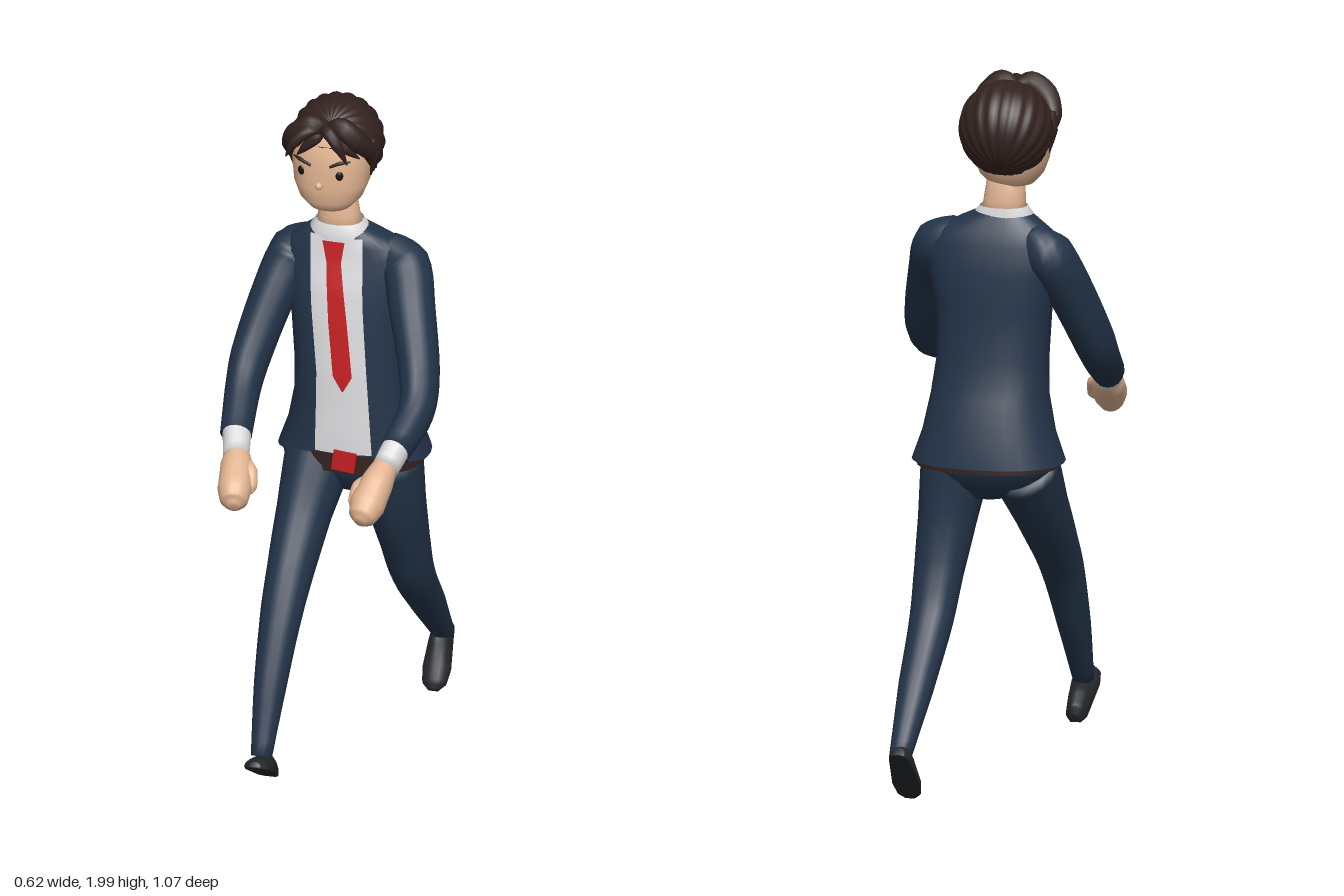
import * as THREE from 'three';
import { mergeVertices } from 'three/addons/utils/BufferGeometryUtils.js';

const V = (x, y, z) => new THREE.Vector3(x, y, z);
const lerp = THREE.MathUtils.lerp;
const paint = (name, color, side = THREE.FrontSide) => {
  const m = new THREE.MeshStandardMaterial({ color, side });
  m.name = name;
  return m;
};
const pw = (v, e) => Math.sign(v) * Math.abs(v) ** e;

// Skin a list of vertex rings, optionally closing both ends
function skin(rings, caps = true) {
  const n = rings[0].length, pos = [], idx = [];
  rings.flat().forEach(p => pos.push(p.x, p.y, p.z));
  for (let i = 0; i < rings.length - 1; i++)
    for (let j = 0; j < n; j++) {
      const a = i * n + j, b = i * n + (j + 1) % n;
      idx.push(a, b, b + n, a, b + n, a + n);
    }
  if (caps) [0, rings.length - 1].forEach(i => {
    const c = V(0, 0, 0), k = pos.length / 3;
    rings[i].forEach(p => c.addScaledVector(p, 1 / n));
    pos.push(c.x, c.y, c.z);
    for (let j = 0; j < n; j++) {
      const a = i * n + j, b = i * n + (j + 1) % n;
      idx.push(k, ...(i ? [a, b] : [b, a]));
    }
  });
  const g = new THREE.BufferGeometry();
  g.setAttribute('position', new THREE.Float32BufferAttribute(pos, 3));
  g.setIndex(idx);
  g.computeVertexNormals();
  return g;
}

// Horizontal sections [y, cx, cz, rx, rz] with rounded-square outline
const E = 0.88, N = 32;
function loft(sections, caps = true, rule = p => p) {
  return skin(sections.map(([y, cx, cz, rx, rz]) => Array.from({ length: N }, (_, j) => {
    const a = j / N * Math.PI * 2;
    return rule(V(cx + rx * pw(Math.sin(a), E), y, cz + rz * pw(Math.cos(a), E)), a);
  })), caps);
}

// Front surface depth of a loft at x, y
function frontZ(sections, x, y) {
  let i = 0;
  while (i < sections.length - 2 && y > sections[i + 1][0]) i++;
  const a = sections[i], b = sections[i + 1];
  const t = THREE.MathUtils.clamp((y - a[0]) / (b[0] - a[0]), 0, 1);
  const [, cx, cz, rx, rz] = a.map((v, k) => lerp(v, b[k], t));
  const k = Math.max(0, 1 - Math.abs((x - cx) / rx) ** (2 / E));
  return cz + rz * k ** (E / 2);
}

// Tapered limb through points [x, y, z, sideRadius, depthRadius]
function limb(pts, { ref = V(1, 0, 0), n = 16, steps = 5 } = {}) {
  const curve = new THREE.CatmullRomCurve3(pts.map(p => V(p[0], p[1], p[2])));
  const m = (pts.length - 1) * steps, rings = [];
  for (let i = 0; i <= m; i++) {
    const f = i / steps, k = Math.min(pts.length - 2, Math.floor(f));
    const r1 = lerp(pts[k][3], pts[k + 1][3], f - k);
    const r2 = lerp(pts[k][4] ?? pts[k][3], pts[k + 1][4] ?? pts[k + 1][3], f - k);
    const c = curve.getPoint(i / m), t = curve.getTangent(i / m);
    const s = ref.clone().addScaledVector(t, -ref.dot(t)).normalize();
    const o = s.clone().cross(t);
    rings.push(Array.from({ length: n }, (_, j) => {
      const a = j / n * Math.PI * 2;
      return c.clone().addScaledVector(s, r1 * Math.sin(a)).addScaledVector(o, r2 * Math.cos(a));
    }));
  }
  return skin(rings);
}

// Thin panel lying on a loft; rows are [y, left x, right x] from bottom to top
function panel(sections, rows, off) {
  const g = new THREE.PlaneGeometry(1, 1, 12, (rows.length - 1) * 8), p = g.attributes.position;
  for (let i = 0; i < p.count; i++) {
    const f = (p.getY(i) + 0.5) * (rows.length - 1), k = Math.min(rows.length - 2, Math.floor(f));
    const [y, l, r] = rows[k].map((v, q) => lerp(v, rows[k + 1][q], f - k));
    const x = lerp(l, r, p.getX(i) + 0.5);
    p.setXYZ(i, x, y, frontZ(sections, x, y) + off);
  }
  g.computeVertexNormals();
  return g;
}

export function createModel() {
  const root = new THREE.Group();
  const D = THREE.DoubleSide;
  const suit = paint('navy suit', 0x233449, D), white = paint('white shirt', 0xdcdcde, D);
  const red = paint('red tie', 0xc41f22, D), skinTone = paint('skin', 0xe2b491);
  const hair = paint('dark brown hair', 0x33221f), leather = paint('brown belt', 0x33221f, D);
  const black = paint('black shoe', 0x24262a), ink = paint('eye black', 0x161214);
  const add = (name, geo, mat, parent = root) => {
    const m = new THREE.Mesh(geo, mat);
    m.name = name;
    parent.add(m);
    return m;
  };

  // Jacket, shirt front and tie
  const torso = [
    [0.915, 0.01, -0.085, 0.215, 0.15], [1.0, 0.01, -0.08, 0.185, 0.145],
    [1.1, 0.01, -0.068, 0.165, 0.128], [1.2, 0.005, -0.056, 0.157, 0.112],
    [1.35, 0, -0.06, 0.163, 0.102], [1.45, 0, -0.067, 0.185, 0.095],
    [1.53, 0, -0.07, 0.185, 0.078], [1.57, -0.005, -0.066, 0.16, 0.068],
    [1.6, -0.015, -0.062, 0.11, 0.06], [1.622, -0.025, -0.06, 0.07, 0.052]];
  add('jacket', loft(torso, false, (p, a) => {
    if (p.y < 0.93) p.y += 0.045 * Math.max(0, Math.cos(a)) ** 2;
    return p;
  }), suit);
  add('shirtFront', panel(torso, [[0.962, -0.07, 0.092], [1.2, -0.068, 0.075],
    [1.4, -0.088, 0.06], [1.6, -0.1, 0.05]], 0.004), white);
  add('tie', panel(torso, [[1.155, 0.008, 0.012], [1.2, -0.018, 0.036], [1.36, -0.035, 0.018],
    [1.53, -0.048, -0.006], [1.59, -0.062, 0.002]], 0.009), red);

  // Belt, buckle and trouser seat
  add('belt', loft([[0.9, 0.012, -0.08, 0.2, 0.144], [0.97, 0.012, -0.08, 0.192, 0.143]], false), leather);
  const buckle = add('buckle', new THREE.BoxGeometry(0.065, 0.062, 0.012), red);
  buckle.position.set(0.015, 0.94, 0.066);
  buckle.rotation.z = -0.12;
  add('trouserSeat', loft([[0.81, 0.015, -0.07, 0.06, 0.06], [0.85, 0.015, -0.072, 0.15, 0.1],
    [0.9, 0.012, -0.077, 0.188, 0.128], [0.96, 0.012, -0.08, 0.188, 0.138]]), suit);

  // Striding legs
  add('rightLeg', limb([[-0.08, 0.91, -0.06, 0.1, 0.115], [-0.103, 0.76, 0.05, 0.078, 0.092],
    [-0.115, 0.63, 0.165, 0.066, 0.075], [-0.122, 0.54, 0.235, 0.06, 0.062],
    [-0.13, 0.36, 0.338, 0.046, 0.052], [-0.132, 0.185, 0.435, 0.03, 0.03]]), suit);
  add('leftLeg', limb([[0.105, 0.91, -0.07, 0.1, 0.115], [0.125, 0.74, -0.1, 0.082, 0.09],
    [0.138, 0.6, -0.145, 0.07, 0.07], [0.145, 0.48, -0.2, 0.062, 0.062],
    [0.155, 0.315, -0.34, 0.05, 0.05], [0.165, 0.14, -0.492, 0.03, 0.03]]), suit);

  // Flat-soled shoes, heel at -z and toe at +z
  const shoeGeo = limb([[0, 0, -0.105, 0.016, 0.022], [0, 0, -0.085, 0.03, 0.045], [0, 0, -0.03, 0.035, 0.055],
    [0, 0, 0.04, 0.041, 0.036], [0, 0, 0.085, 0.034, 0.024], [0, 0, 0.105, 0.014, 0.012]]);
  const sp = shoeGeo.attributes.position;
  for (let i = 0; i < sp.count; i++) sp.setY(i, Math.max(-0.004, sp.getY(i)));
  shoeGeo.computeVertexNormals();
  [['rightShoe', -0.131, 0.139, 0.432, -0.58], ['leftShoe', 0.16, 0.088, -0.455, 0.82]].forEach(([name, x, y, z, tilt]) => {
    const s = add(name, shoeGeo, black);
    s.position.set(x, y, z);
    s.rotation.x = tilt;
  });

  // Sleeves, cuffs and mitten hands
  const arm = (side, sleeve, cuff, hand, thumb) => {
    const g = new THREE.Group();
    g.name = side + 'Arm';
    root.add(g);
    add(side + 'Sleeve', limb(sleeve), suit, g);
    add(side + 'Cuff', limb(cuff), white, g);
    add(side + 'Hand', limb(hand), skinTone, g);
    add(side + 'Thumb', limb(thumb), skinTone, g);
  };
  arm('left',
    [[0.1, 1.565, -0.07, 0.04, 0.04], [0.16, 1.515, -0.05, 0.07, 0.07], [0.2, 1.42, 0.03, 0.066, 0.074],
      [0.25, 1.26, 0.15, 0.056, 0.074], [0.256, 1.2, 0.22, 0.05, 0.068], [0.228, 1.14, 0.345, 0.043, 0.053]],
    [[0.232, 1.15, 0.325, 0.041, 0.05], [0.212, 1.108, 0.395, 0.037, 0.043]],
    [[0.213, 1.115, 0.38, 0.033, 0.037], [0.198, 1.08, 0.43, 0.045, 0.05], [0.182, 1.035, 0.487, 0.05, 0.052],
      [0.174, 1.012, 0.52, 0.038, 0.04], [0.17, 1.003, 0.535, 0.014, 0.016]],
    [[0.18, 1.09, 0.42, 0.015], [0.15, 1.07, 0.45, 0.02], [0.142, 1.035, 0.475, 0.017], [0.142, 1.02, 0.485, 0.006]]);
  arm('right',
    [[-0.1, 1.56, -0.08, 0.04, 0.04], [-0.16, 1.505, -0.085, 0.07, 0.075], [-0.205, 1.4, -0.03, 0.064, 0.074],
      [-0.25, 1.24, 0.07, 0.056, 0.072], [-0.256, 1.18, 0.13, 0.05, 0.066], [-0.243, 1.1, 0.275, 0.045, 0.05]],
    [[-0.244, 1.11, 0.255, 0.042, 0.047], [-0.228, 1.065, 0.335, 0.037, 0.041]],
    [[-0.229, 1.07, 0.32, 0.033, 0.036], [-0.222, 1.045, 0.355, 0.045, 0.046], [-0.212, 1.005, 0.42, 0.048, 0.05],
      [-0.207, 0.98, 0.452, 0.038, 0.04], [-0.205, 0.972, 0.468, 0.014, 0.016]],
    [[-0.2, 1.055, 0.345, 0.015], [-0.178, 1.04, 0.375, 0.02], [-0.17, 1.005, 0.4, 0.017], [-0.17, 0.99, 0.41, 0.006]]);

  // Neck and collar
  add('neck', loft([[1.59, -0.025, -0.06, 0.064, 0.054], [1.65, -0.03, -0.062, 0.059, 0.048],
    [1.74, -0.035, -0.06, 0.05, 0.046]]), skinTone);
  add('collar', loft([[1.59, -0.022, -0.058, 0.088, 0.062], [1.612, -0.025, -0.057, 0.084, 0.06],
    [1.635, -0.027, -0.06, 0.066, 0.054]], false), white);

  // Head and face
  const head = [[1.688, -0.045, -0.035, 0.03, 0.035], [1.697, -0.045, -0.035, 0.062, 0.068],
    [1.725, -0.045, -0.038, 0.088, 0.088], [1.77, -0.045, -0.044, 0.106, 0.098], [1.84, -0.045, -0.048, 0.113, 0.1],
    [1.9, -0.045, -0.05, 0.108, 0.092], [1.95, -0.045, -0.055, 0.075, 0.07]];
  add('head', loft(head), skinTone);
  [[-0.115, 'rightEye'], [-0.003, 'leftEye']].forEach(([x, name]) => {
    const eye = add(name, new THREE.SphereGeometry(1, 16, 12), ink);
    eye.scale.set(0.011, 0.014, 0.005);
    eye.position.set(x, 1.818, frontZ(head, x, 1.818));
    eye.rotation.y = (x + 0.045) * 7;
  });
  const nose = add('nose', new THREE.SphereGeometry(0.011, 12, 8), skinTone);
  nose.position.set(-0.06, 1.784, frontZ(head, -0.06, 1.784) + 0.002);
  const brow = (name, pts) => add(name, limb(pts.map(([x, y, r]) =>
    [x, y, frontZ(head, x, y) + 0.001, r]), { ref: V(0, 0, 1), n: 8 }), hair);
  brow('rightBrow', [[-0.142, 1.849, 0.002], [-0.12, 1.851, 0.006], [-0.085, 1.843, 0.004]]);
  brow('leftBrow', [[-0.03, 1.845, 0.004], [0.0, 1.857, 0.006], [0.025, 1.858, 0.002]]);

  // Hair cap with combed ridges running back from the parting
  let cap = new THREE.SphereGeometry(1, 96, 48);
  cap.deleteAttribute('uv');
  cap.deleteAttribute('normal');
  cap = mergeVertices(cap);
  const cp = cap.attributes.position, v = V(0, 0, 0);
  for (let i = 0; i < cp.count; i++) {
    v.fromBufferAttribute(cp, i);
    const ring = Math.hypot(v.x, v.z);
    v.multiplyScalar(0.97 + 0.05 * Math.abs(Math.sin(Math.atan2(v.z, v.x) * 10)) * ring);
    v.applyAxisAngle(V(1, 0, 0), 0.75).multiply(V(0.13, 0.136, 0.131)).add(V(-0.04, 1.858, -0.085));
    const hem = v.z > -0.03 ? 1.9 : lerp(1.9, 1.735, Math.min(1, (-0.03 - v.z) / 0.08));
    cp.setXYZ(i, v.x, Math.max(v.y, hem), v.z);
  }
  cap.computeVertexNormals();
  add('hairCap', cap, hair);

  // Parted fringe, loose strands and sideburns
  [
    [[-0.04, 1.945, 0.02, 0.02], [-0.08, 1.965, 0.04, 0.03], [-0.125, 1.935, 0.035, 0.032], [-0.155, 1.88, 0.0, 0.024], [-0.155, 1.835, -0.01, 0.004]],
    [[-0.04, 1.945, 0.02, 0.02], [0.0, 1.965, 0.04, 0.03], [0.04, 1.93, 0.035, 0.032], [0.068, 1.88, 0.0, 0.024], [0.072, 1.835, -0.01, 0.004]],
    [[-0.06, 1.955, 0.03, 0.012], [-0.03, 1.962, 0.07, 0.018], [0.0, 1.93, 0.084, 0.016], [0.026, 1.872, 0.078, 0.002]],
    [[-0.04, 1.955, 0.03, 0.012], [-0.085, 1.96, 0.065, 0.018], [-0.125, 1.925, 0.08, 0.016], [-0.148, 1.88, 0.08, 0.002]],
    [[-0.08, 1.955, 0.02, 0.02], [-0.07, 1.935, 0.045, 0.02], [-0.1, 1.9, 0.05, 0.013], [-0.125, 1.868, 0.04, 0.002]],
    [[0.0, 1.955, 0.02, 0.02], [-0.01, 1.935, 0.045, 0.02], [0.02, 1.905, 0.05, 0.015], [0.05, 1.87, 0.03, 0.002]],
    [[-0.153, 1.9, -0.035, 0.016], [-0.158, 1.85, -0.04, 0.018], [-0.152, 1.785, -0.045, 0.003]],
    [[0.063, 1.9, -0.035, 0.016], [0.07, 1.85, -0.04, 0.018], [0.064, 1.785, -0.045, 0.003]],
  ].forEach((pts, i) => add('hairLock' + (i + 1), limb(pts, { ref: V(0, 0, 1), n: 10 }), hair));

  return root;
}
